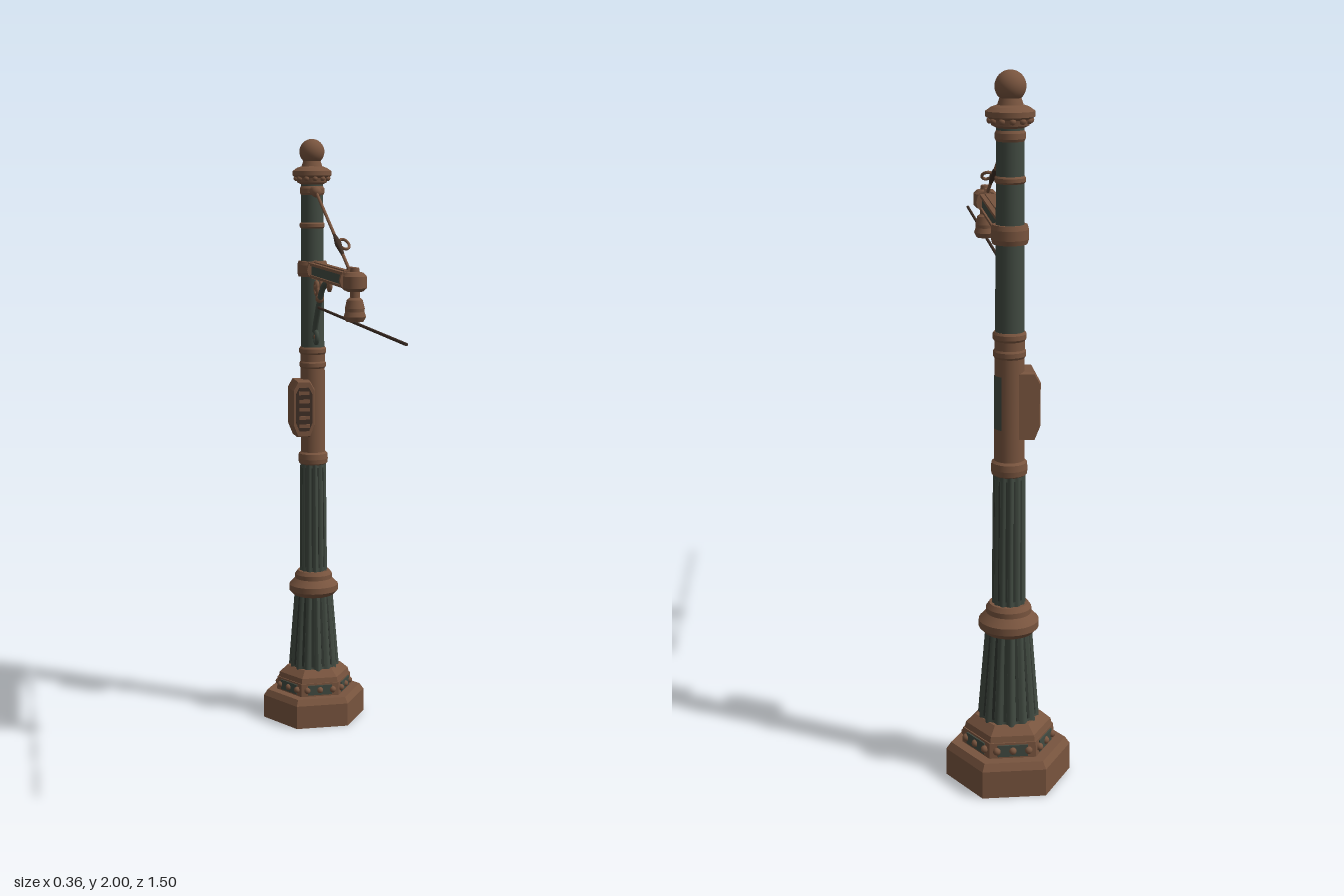
import * as THREE from 'three';

export function createModel() {
  const root = new THREE.Group();
  const mat = (name, color, side = THREE.FrontSide) => {
    const m = new THREE.MeshStandardMaterial({ color, side });
    m.name = name;
    return m;
  };
  const rust = mat('rust brown', 0x78543e);
  const green = mat('dark green paint', 0x414a41);
  const dark = mat('dark iron', 0x3f2f26);
  const groove = mat('groove shadow green', 0x2f352f);
  const PZ = -0.59;

  const add = (name, geo, material, x = 0, y = 0, z = 0) => {
    const m = new THREE.Mesh(geo, material);
    m.name = name;
    m.position.set(x, y, z);
    root.add(m);
    return m;
  };
  // Turned part with crisp profile corners
  const turned = (name, pts, material, z = PZ, seg = 28) => {
    for (let i = 0; i < pts.length - 1; i++) {
      const [r0, y0] = pts[i], [r1, y1] = pts[i + 1];
      const g = new THREE.LatheGeometry([new THREE.Vector2(r0, y0), new THREE.Vector2(r1, y1)], seg);
      add(name, g, material, 0, 0, z);
    }
  };
  // Hexagonal tier with points on the x axis
  const hexTier = (name, r0, r1, y0, y1, material) => {
    const g = new THREE.CylinderGeometry(r1, r0, y1 - y0, 6, 1, false, Math.PI / 6).toNonIndexed();
    g.computeVertexNormals();
    add(name, g, material, 0, (y0 + y1) / 2, PZ);
  };
  // Shaft with rounded flutes and dark strips in the hollows
  const fluted = (name, r0, r1, y0, y1, n, depth) => {
    const h = y1 - y0;
    const g = new THREE.CylinderGeometry(r1, r0, h, n * 6, 1, true);
    const p = g.attributes.position;
    for (let i = 0; i < p.count; i++) {
      const a = Math.atan2(p.getX(i), p.getZ(i));
      const k = 1 - depth * (0.5 - 0.5 * Math.cos(a * n));
      p.setXYZ(i, p.getX(i) * k, p.getY(i), p.getZ(i) * k);
    }
    g.computeVertexNormals();
    add(name, g, green, 0, (y0 + y1) / 2, PZ);
    for (let i = 0; i < n; i++) {
      const holder = new THREE.Group();
      holder.name = name + 'Groove';
      holder.position.set(0, (y0 + y1) / 2, PZ);
      holder.rotation.y = (i + 0.5) * 2 * Math.PI / n;
      const strip = new THREE.Mesh(new THREE.BoxGeometry(r0 * 0.1, h * 0.9, 0.004), groove);
      strip.name = name + 'GrooveStrip';
      strip.position.z = (r0 + r1) / 2 * (1 - depth);
      strip.rotation.x = -Math.atan((r0 - r1) / h);
      holder.add(strip);
      root.add(holder);
    }
  };
  // Rod between two points
  const rod = (name, a, b, r, material, r2 = r) => {
    const A = new THREE.Vector3(...a), B = new THREE.Vector3(...b), d = B.clone().sub(A);
    const m = add(name, new THREE.CylinderGeometry(r2, r, d.length(), 12), material);
    m.position.copy(A).add(B).multiplyScalar(0.5);
    m.quaternion.setFromUnitVectors(new THREE.Vector3(0, 1, 0), d.normalize());
    return m;
  };

  // Stepped hexagonal base
  hexTier('baseSlab', 0.179, 0.179, 0, 0.08, rust);
  hexTier('baseBevel', 0.179, 0.165, 0.08, 0.1, rust);
  hexTier('plinth', 0.132, 0.13, 0.1, 0.145, rust);
  hexTier('plinthLedge', 0.126, 0.122, 0.145, 0.162, rust);
  hexTier('plinthSlope', 0.122, 0.095, 0.162, 0.185, rust);
  for (let i = 0; i < 6; i++) {
    const side = new THREE.Group();
    side.name = 'plinthSide';
    side.position.set(0, 0.122, PZ);
    side.rotation.y = i * Math.PI / 3;
    const panel = new THREE.Mesh(new THREE.BoxGeometry(0.085, 0.034, 0.006), green);
    panel.name = 'plinthPanel';
    panel.position.z = 0.114;
    side.add(panel);
    for (const x of [-0.045, 0, 0.045]) {
      const bolt = new THREE.Mesh(new THREE.SphereGeometry(0.011, 10, 8), rust);
      bolt.name = 'plinthBolt';
      bolt.position.set(x, 0, 0.116);
      side.add(bolt);
    }
    root.add(side);
  }

  // Column, from the bottom up
  fluted('lowerColumn', 0.088, 0.066, 0.18, 0.45, 14, 0.1);
  turned('middleCollar', [[0.06, 0.435], [0.071, 0.44], [0.085, 0.455], [0.085, 0.475], [0.064, 0.497],
    [0.064, 0.512], [0.055, 0.525], [0.04, 0.525]], rust);
  fluted('fluteShaft', 0.048, 0.045, 0.52, 0.91, 12, 0.1);
  turned('shaftCollar', [[0.042, 0.9], [0.049, 0.905], [0.051, 0.92], [0.049, 0.938], [0.041, 0.945]], rust);
  turned('rustShaft', [[0.042, 0.94], [0.041, 1.25]], rust);
  turned('upperShaft', [[0.04, 1.25], [0.037, 1.86]], green);
  add('wornPaint', new THREE.CylinderGeometry(0.0425, 0.0425, 0.15, 12, 1, true, 1.6, 0.9), green, 0, 1.11, PZ);
  const ring = (name, y, r, h) => turned(name,
    [[0.036, y - h / 2], [r - 0.004, y - h / 2], [r, y - h / 4], [r, y + h / 4], [r - 0.004, y + h / 2], [0.036, y + h / 2]], rust);
  ring('lowerRing', 1.245, 0.045, 0.025);
  ring('lowerRingTop', 1.293, 0.046, 0.025);
  turned('ringNeck', [[0.0415, 1.255], [0.0415, 1.285]], rust);
  ring('armBand', 1.57, 0.051, 0.052);
  ring('upperRing', 1.715, 0.042, 0.02);
  ring('tieBand', 1.83, 0.041, 0.03);

  // Capital and ball finial
  turned('capital', [[0.036, 1.85], [0.05, 1.857], [0.053, 1.872], [0.066, 1.88], [0.066, 1.894],
    [0.05, 1.905], [0.035, 1.91], [0.028, 1.93]], rust);
  for (let i = 0; i < 12; i++) {
    const a = i * Math.PI / 6;
    add('capitalBead', new THREE.SphereGeometry(0.009, 8, 6), rust, Math.sin(a) * 0.054, 1.87, PZ + Math.cos(a) * 0.054);
  }
  add('ballFinial', new THREE.SphereGeometry(0.042, 24, 16), rust, 0, 1.958, PZ);

  // Beam arm with flanges
  add('armWeb', new THREE.BoxGeometry(0.034, 0.032, 0.6), green, 0, 1.568, -0.25);
  add('armTopFlange', new THREE.BoxGeometry(0.045, 0.009, 0.6), rust, 0, 1.588, -0.25);
  add('armBottomFlange', new THREE.BoxGeometry(0.045, 0.008, 0.6), rust, 0, 1.549, -0.25);
  add('armTopRib', new THREE.BoxGeometry(0.018, 0.005, 0.58), rust, 0, 1.594, -0.25);
  for (const [z, r, l] of [[-0.525, 0.032, 0.02], [0.028, 0.034, 0.018]])
    rod('armCollar', [0, 1.568, z - l / 2], [0, 1.568, z + l / 2], r, rust);
  rod('armTip', [0, 1.568, 0.035], [0, 1.568, 0.1], 0.023, rust);

  // End fitting with hanging bell insulator
  turned('endFitting', [[0, 1.54], [0.025, 1.54], [0.036, 1.55], [0.036, 1.585], [0.026, 1.596],
    [0.015, 1.598], [0.013, 1.61], [0, 1.613]], rust, 0.093, 20);
  turned('bellInsulator', [[0, 1.45], [0.026, 1.45], [0.034, 1.465], [0.029, 1.48], [0.03, 1.49],
    [0.024, 1.515], [0.015, 1.522], [0.015, 1.542]], rust, 0.093, 20);

  // Overhead wire
  rod('wire', [-0.004, 1.448, -0.46], [-0.004, 1.448, 0.75], 0.0045, dark);

  // Tie rod with turnbuckle
  const tie = t => [0, 1.832 - 0.235 * t, -0.53 + 0.55 * t];
  rod('tieRod', tie(0), tie(1), 0.005, rust);
  rod('turnbuckleUpper', tie(0.58), tie(0.68), 0.005, dark, 0.011);
  rod('turnbuckleLower', tie(0.68), tie(0.82), 0.011, dark, 0.005);
  rod('tieLug', [0, 1.83, -0.56], [0, 1.826, -0.515], 0.016, rust);
  add('tieLugEnd', new THREE.SphereGeometry(0.018, 14, 10), rust, 0, 1.826, -0.512);
  add('tieAnchor', new THREE.BoxGeometry(0.016, 0.025, 0.026), rust, 0, 1.597, 0.02);
  const loopPts = [];
  for (let i = 0; i < 16; i++) {
    const a = i * Math.PI / 8, p = tie(0.69 + 0.058 * Math.cos(a));
    loopPts.push(new THREE.Vector3(0.018 + 0.015 * Math.sin(a), p[1], p[2]));
  }
  add('turnbuckleLoop', new THREE.TubeGeometry(new THREE.CatmullRomCurve3(loopPts, true), 48, 0.0045, 8, true), rust);

  // Scrolled bracket under the arm, points given as z, y
  const tube = (name, pts, r, material) => add(name, new THREE.TubeGeometry(
    new THREE.CatmullRomCurve3(pts.map(([z, y]) => new THREE.Vector3(0, y, z))), 60, r, 8), material);
  const scroll = (cz, cy, r, start, turns) => {
    const pts = [];
    for (let i = 0; i <= 16; i++) {
      const a = start + turns * 2 * Math.PI * i / 16, k = r * (1 - 0.72 * i / 16);
      pts.push([cz + k * Math.cos(a), cy + k * Math.sin(a)]);
    }
    add('scrollEye', new THREE.SphereGeometry(r * 0.38, 12, 8), rust, 0, cy, cz);
    return pts;
  };
  tube('bracketBrace', [[-0.3, 1.54], [-0.37, 1.531], [-0.43, 1.5], [-0.48, 1.448], [-0.525, 1.395], [-0.548, 1.36]], 0.01, green);
  tube('bracketUpperScroll', [[-0.36, 1.534], ...scroll(-0.297, 1.53, 0.02, Math.PI * 0.75, -1.2)], 0.007, rust);
  tube('bracketLowerScroll', scroll(-0.524, 1.346, 0.025, Math.PI, 1.3), 0.008, green);
  tube('bracketBranch', [[-0.47, 1.455], [-0.462, 1.49], [-0.478, 1.505], ...scroll(-0.512, 1.512, 0.028, -0.2, -1.3)], 0.007, rust);
  tube('bracketLeaf', [[-0.455, 1.475], [-0.43, 1.5], [-0.425, 1.525], [-0.445, 1.545]], 0.007, rust);
  add('bracketKnot', new THREE.SphereGeometry(0.015, 12, 8), rust, 0, 1.478, -0.458);

  // Chamfered control box on the column
  const outline = (s) => new THREE.Shape([[-0.022, -0.1], [0.022, -0.1], [0.038, -0.06], [0.038, 0.07], [0.022, 0.1],
    [-0.022, 0.1], [-0.038, 0.07], [-0.038, -0.06]].map(([x, y]) => new THREE.Vector2(x * s, y * s)));
  const box = new THREE.ExtrudeGeometry(outline(0.92), { depth: 0.085, bevelThickness: 0.012, bevelSize: 0.004, bevelSegments: 1 });
  add('controlBox', box, rust, -0.044, 1.1, -0.613);
  add('controlBoxDoor', new THREE.ExtrudeGeometry(outline(0.74), { depth: 0.004, bevelEnabled: false }), dark, -0.044, 1.1, -0.516);
  for (let i = 0; i < 5; i++)
    add('doorRib', new THREE.BoxGeometry(0.036, 0.012, 0.005), rust, -0.044, 1.044 + i * 0.028, -0.511);

  return root;
}
